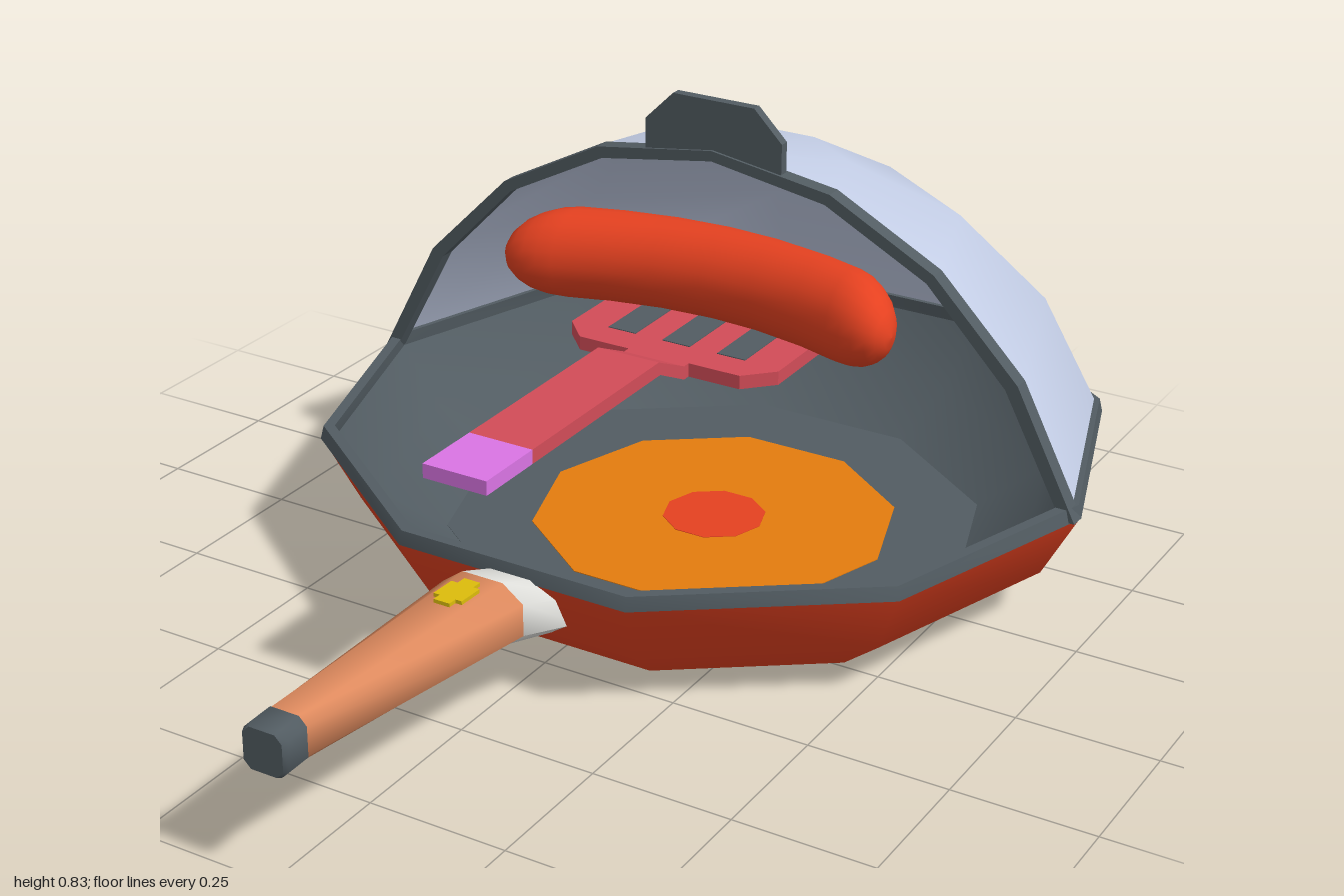
import * as THREE from 'three';
import { toCreasedNormals } from 'three/addons/utils/BufferGeometryUtils.js';

const mat = (name, color, side = THREE.FrontSide) => {
  const m = new THREE.MeshStandardMaterial({ color, side });
  m.name = name;
  return m;
};
const V = (pts) => pts.map(([x, y]) => new THREE.Vector2(x, y));

export function createModel() {
  const red = mat('red enamel', 0xe54120, THREE.DoubleSide);
  const grey = mat('dark grey iron', 0x525c62, THREE.DoubleSide);
  const steel = mat('pale steel', 0xc2cce4, THREE.DoubleSide);
  const orange = mat('burner orange', 0xe47c0e);
  const wood = mat('handle wood', 0xde8a5e);
  const white = mat('collar white', 0xe2e2de);
  const rose = mat('spatula rose', 0xd24c58);
  const purple = mat('grip purple', 0xda74e4);
  const yellow = mat('badge yellow', 0xdcbc0c);

  const root = new THREE.Group();
  const add = (name, geo, material, parent = root) => {
    const mesh = new THREE.Mesh(geo, material);
    mesh.name = name;
    parent.add(mesh);
    return mesh;
  };
  const extrude = (shape, depth) =>
    new THREE.ExtrudeGeometry(shape, { depth, bevelEnabled: false });

  // ---- Ten-sided pan: open outer wall around a smaller inner shell ----
  const SIDES = 10, TURN = Math.PI / 10;
  const pan = new THREE.Group();
  pan.name = 'pan';
  pan.position.z = -0.325;
  root.add(pan);
  const ring = (pts) => new THREE.LatheGeometry(V(pts), SIDES, TURN);
  add('panOuterWall', ring([[0.532, 0], [0.645, 0.088], [0.711, 0.212]]), red, pan);
  add('panInnerWall', ring([[0.692, 0.212], [0.612, 0.1], [0.49, 0.025]]), grey, pan);
  const rim = ring([[0.712, 0.21], [0.706, 0.235], [0.686, 0.235], [0.69, 0.205], [0.712, 0.21]]);
  add('panRim', toCreasedNormals(rim, 0.7), grey, pan);

  // Floor and burner rings, seen from above and below
  const disc = (name, r, y0, y1, material) => {
    const g = new THREE.CylinderGeometry(r, r, y1 - y0, SIDES, 1, false, TURN);
    add(name, g.translate(0, (y0 + y1) / 2, 0), material, pan);
  };
  disc('panFloor', 0.49, 0.022, 0.026, grey);
  disc('burnerRing', 0.335, 0.0205, 0.0275, orange);
  disc('burnerCore', 0.095, 0.0195, 0.0285, red);

  // ---- Half-dome lid over the back ----
  const arch = [[0.712, 0.212], [0.594, 0.44], [0.431, 0.605], [0.231, 0.71], [0, 0.745]];
  const dome = arch.map(([r, y], i) => (i === 0 ? [0.698, 0.23] : [Math.max(r - 0.002, 0), y - 0.002]));
  add('lidDome', new THREE.LatheGeometry(V(dome), 5, Math.PI / 2, Math.PI), steel, pan);

  const inner = [[0.687, 0.212], [0.572, 0.428], [0.418, 0.588], [0.222, 0.69], [0, 0.726]];
  const mirror = (p) => p.slice(0, -1).reverse().map(([x, y]) => [-x, y]);
  const outerArch = [...arch, ...mirror(arch)];
  const innerArch = [...inner, ...mirror(inner)].reverse();
  add('lidRim', extrude(new THREE.Shape(V([...outerArch, ...innerArch])), 0.03).translate(0, 0, -0.325), grey);

  const tab = [[-0.135, 0.725], [0.135, 0.725], [0.135, 0.78], [0.08, 0.835], [-0.08, 0.835], [-0.135, 0.78]];
  add('lidTab', extrude(new THREE.Shape(V(tab)), 0.018).translate(0, 0, -0.318), grey);

  // ---- Pan handle: sections [z, centreY, halfWidth, halfHeight, flat share of each side] ----
  const loft = (sections) => {
    const pos = [], idx = [], N = 8;
    sections.forEach(([z, cy, rx, ry, c]) => {
      const corners = [[1, c], [c, 1], [-c, 1], [-1, c], [-1, -c], [-c, -1], [c, -1], [1, -c]];
      corners.forEach(([x, y]) => pos.push(x * rx, cy + y * ry, z));
    });
    const last = (sections.length - 1) * N;
    for (let s = 0; s < last; s += N)
      for (let i = 0; i < N; i++) {
        const j = (i + 1) % N;
        idx.push(s + i, s + j, s + N + j, s + i, s + N + j, s + N + i);
      }
    for (let i = 1; i < N - 1; i++) idx.push(0, i + 1, i, last, last + i, last + i + 1);
    const g = new THREE.BufferGeometry();
    g.setAttribute('position', new THREE.Float32BufferAttribute(pos, 3));
    g.setIndex(idx);
    return toCreasedNormals(g, 1);
  };
  const handle = new THREE.Group();
  handle.name = 'panHandle';
  root.add(handle);
  const joint = [0.43, 0.191, 0.077, 0.057, 0.5];
  add('handleCollar', loft([[0.268, 0.133, 0.08, 0.05, 0.5], joint]), white, handle);
  add('handleGrip', loft([joint, [0.945, 0.227, 0.038, 0.039, 0.65]]), wood, handle);
  add('handleCap', loft([[0.945, 0.227, 0.04, 0.04, 0.65], [0.99, 0.226, 0.04, 0.04, 0.65],
    [1, 0.226, 0.036, 0.036, 0.65]]), grey, handle);

  // Cross-shaped badge on top of the grip
  const badgeHalf = [[0.015, -0.042], [0.015, -0.025], [0.027, -0.025], [0.027, 0.025], [0.015, 0.025], [0.015, 0.044]];
  const badgeShape = new THREE.Shape(V([...badgeHalf, ...badgeHalf.map(([x, y]) => [-x, y]).reverse()]));
  const badge = add('handleBadge', extrude(badgeShape, 0.009).rotateX(-Math.PI / 2), yellow, handle);
  badge.position.set(0, 0.248, 0.503);
  badge.rotation.x = -0.035;

  // ---- Spatula ----
  const spatula = new THREE.Group();
  spatula.name = 'spatula';
  root.add(spatula);
  // Head drawn with shape y = -z, then laid flat
  const head = new THREE.Shape(V([[-0.16, 0.12], [0.16, 0.12], [0.208, 0.17], [0.208, 0.4], [-0.208, 0.4], [-0.208, 0.17]]));
  add('spatulaHead', extrude(head, 0.025).rotateX(-Math.PI / 2).translate(0, 0.4, 0), rose, spatula);
  // Dark slots showing on both faces of the head
  for (const x of [-0.11, 0, 0.11])
    add('spatulaSlot', new THREE.BoxGeometry(0.055, 0.028, 0.16).translate(x, 0.4125, -0.26), grey, spatula);
  // Arm side profile in (z, y), swept across x
  const arm = (pts) => extrude(new THREE.Shape(V(pts.map(([z, y]) => [-z, y]))), 0.12)
    .rotateY(Math.PI / 2).translate(-0.06, 0, 0);
  add('spatulaArm', arm([[0.37, 0.44], [0.37, 0.465], [-0.02, 0.465], [-0.105, 0.425], [-0.13, 0.425],
    [-0.13, 0.4], [-0.105, 0.4], [-0.025, 0.44]]), rose, spatula);
  add('spatulaGrip', arm([[0.5, 0.44], [0.5, 0.465], [0.37, 0.465], [0.37, 0.44]]), purple, spatula);

  // ---- Sausage: long-ended capsule bent forward at both ends ----
  const half = [];
  for (let i = 0; i <= 6; i++) {
    const a = (i / 6) * Math.PI / 2;
    half.push([0.083 * Math.cos(a), 0.275 + 0.11 * Math.sin(a)]);
  }
  const middle = [-0.2, -0.1, 0, 0.1, 0.2].map((y) => [0.083, y]);
  const profile = [...half.map(([r, y]) => [r, -y]).reverse(), ...middle, ...half];
  const sausage = new THREE.LatheGeometry(V(profile), 20).rotateZ(Math.PI / 2);
  const p = sausage.attributes.position, n = sausage.attributes.normal;
  const BEND = 0.68, nv = new THREE.Vector3();
  for (let i = 0; i < p.count; i++) {
    const x = p.getX(i);
    p.setZ(i, p.getZ(i) + BEND * x * x);
    nv.fromBufferAttribute(n, i);
    nv.x -= 2 * BEND * x * nv.z;
    nv.normalize();
    n.setXYZ(i, nv.x, nv.y, nv.z);
  }
  add('sausage', sausage, red).position.set(0, 0.502, -0.34);

  return root;
}
